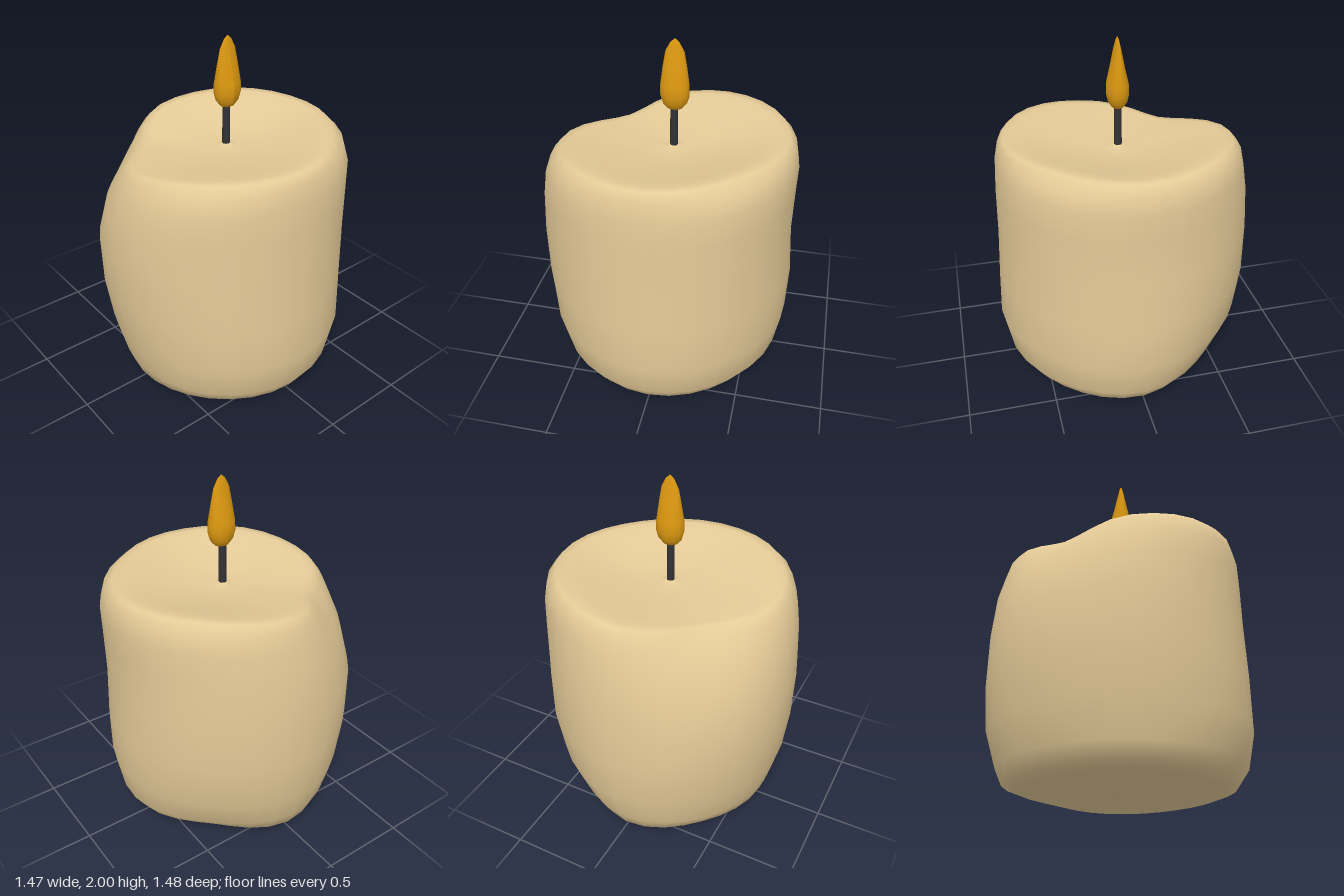
import * as THREE from 'three';

// Wax side: heights of the levels, and the radius at each level in eight
// directions, starting at +x and turning through +z.
const LEVELS = [0.04, 0.13, 0.33, 0.6, 0.9, 1.15, 1.3, 1.4, 1.45];
const RADII = [
  [0.62, 0.68, 0.72, 0.73, 0.71, 0.715, 0.72, 0.70, 0.66],
  [0.62, 0.68, 0.72, 0.715, 0.71, 0.71, 0.71, 0.68, 0.62],
  [0.64, 0.70, 0.74, 0.73, 0.715, 0.71, 0.70, 0.68, 0.65],
  [0.62, 0.68, 0.725, 0.735, 0.73, 0.725, 0.72, 0.69, 0.64],
  [0.61, 0.64, 0.69, 0.725, 0.735, 0.71, 0.67, 0.63, 0.59],
  [0.58, 0.63, 0.68, 0.715, 0.715, 0.65, 0.575, 0.51, 0.45],
  [0.62, 0.66, 0.72, 0.74, 0.735, 0.71, 0.67, 0.64, 0.60],
  [0.53, 0.61, 0.69, 0.73, 0.73, 0.72, 0.71, 0.69, 0.64],
];
const RIM = [1.465, 1.465, 1.455, 1.445, 1.39, 1.365, 1.425, 1.47];
const WICK_X = 0.022, WICK_Z = 0.015;

// Smooth periodic interpolation between the eight directions
function around(values, u) {
  const n = values.length, i = Math.floor(u * n), t = u * n - i;
  const [a, b, c, d] = [-1, 0, 1, 2].map((k) => values[(i + k + n) % n]);
  return b + 0.5 * t * (c - a + t * (2 * a - 5 * b + 4 * c - d + t * (3 * (b - c) + d - a)));
}

function waxGeometry(segments = 32) {
  const last = LEVELS.length - 1;
  const rings = [];
  const addRing = (radius, height, cx = 0, cz = 0) => rings.push({ radius, height, cx, cz });
  const sideRadius = (k) => (u) => around(RADII.map((r) => r[k]), u);
  const rim = (u) => around(RIM, u);

  // Underside
  const foot = sideRadius(0);
  addRing(() => 0.001, () => 0.005);
  addRing((u) => foot(u) * 0.5, () => 0.003);
  addRing((u) => foot(u) * 0.88, () => 0.012);
  // Side
  LEVELS.forEach((y, k) => addRing(sideRadius(k), (u) => y * (1 + (rim(u) / 1.45 - 1) * y / 1.45)));
  // Dished top, rising slightly where it meets the wick
  const lip = sideRadius(last);
  [[0.92, 1], [0.8, 0.82], [0.55, 0.4], [0.3, 0.12], [0.12, 0]].forEach(([s, h]) =>
    addRing((u) => lip(u) * s, (u) => 1.365 + (rim(u) - 1.365) * h, WICK_X * (1 - s), WICK_Z * (1 - s)));
  addRing(() => 0.02, () => 1.385, WICK_X, WICK_Z);

  const positions = [], index = [];
  rings.forEach(({ radius, height, cx, cz }, i) => {
    for (let j = 0; j < segments; j++) {
      const u = j / segments, a = u * Math.PI * 2, r = radius(u);
      positions.push(cx + r * Math.cos(a), height(u), cz + r * Math.sin(a));
      if (i === rings.length - 1) continue;
      const p = i * segments + j, q = i * segments + (j + 1) % segments;
      index.push(p, p + segments, q, q, p + segments, q + segments);
    }
  });
  const geometry = new THREE.BufferGeometry();
  geometry.setAttribute('position', new THREE.Float32BufferAttribute(positions, 3));
  geometry.setIndex(index);
  geometry.computeVertexNormals();
  return geometry;
}

function flameGeometry() {
  const profile = [[0, 1.605], [0.042, 1.61], [0.068, 1.64], [0.081, 1.685], [0.08, 1.74],
    [0.067, 1.84], [0.051, 1.93], [0.024, 1.98], [0, 2]];
  const geometry = new THREE.LatheGeometry(profile.map(([x, y]) => new THREE.Vector2(x, y)), 12);
  // Flatten front to back, more so towards the tip
  const p = geometry.attributes.position;
  for (let i = 0; i < p.count; i++) {
    const t = THREE.MathUtils.clamp((p.getY(i) - 1.74) / 0.2, 0, 1);
    p.setZ(i, p.getZ(i) * (0.77 - 0.42 * t));
  }
  geometry.computeVertexNormals();
  return geometry;
}

export function createModel() {
  const group = new THREE.Group();
  group.name = 'candle';
  const add = (name, geometry, color, x = 0, y = 0, z = 0) => {
    const mesh = new THREE.Mesh(geometry, new THREE.MeshStandardMaterial({ color }));
    mesh.name = name;
    mesh.position.set(x, y, z);
    group.add(mesh);
  };
  add('wax', waxGeometry(), 0xe4ca97);
  add('wick', new THREE.CylinderGeometry(0.021, 0.023, 0.3, 8), 0x333335, WICK_X, 1.5, WICK_Z);
  add('flame', flameGeometry(), 0xdc9810, WICK_X + 0.004, 0, WICK_Z + 0.003);
  return group;
}
